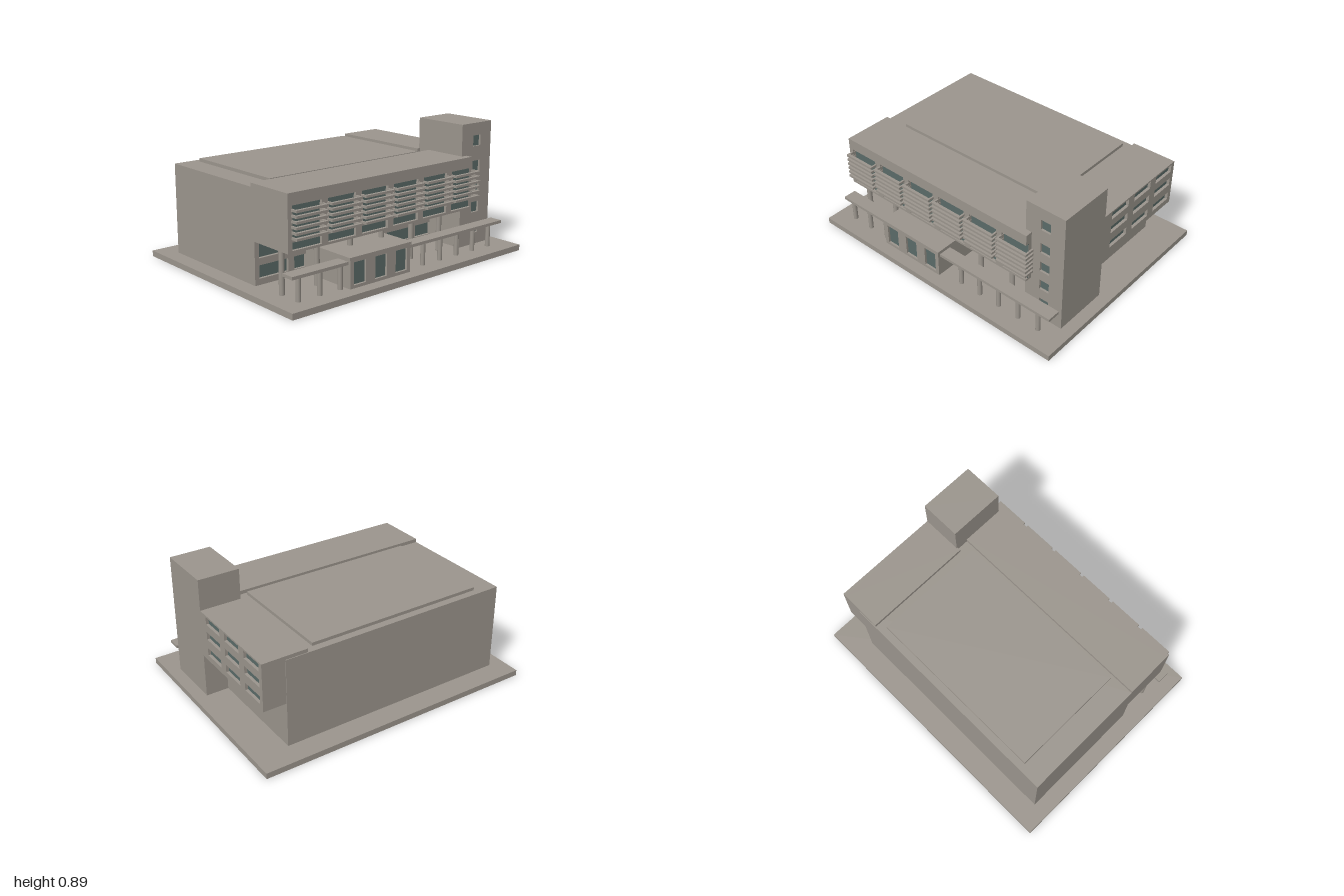
import * as THREE from 'three';

export function createModel() {
  const model = new THREE.Group();
  model.name = 'officeBuilding';
  const concrete = new THREE.MeshStandardMaterial({ color: 0x9b958d });
  concrete.name = 'concrete';
  const glass = new THREE.MeshStandardMaterial({ color: 0x5a6b68 });
  glass.name = 'glass';

  function add(name, geometry, material = concrete, parent = model) {
    const mesh = new THREE.Mesh(geometry, material);
    mesh.name = name;
    parent.add(mesh);
    return mesh;
  }
  // Box given by its limits on each axis
  function box(name, x0, x1, y0, y1, z0, z1, material, parent) {
    const g = new THREE.BoxGeometry(x1 - x0, y1 - y0, z1 - z0);
    g.translate((x0 + x1) / 2, (y0 + y1) / 2, (z0 + z1) / 2);
    return add(name, g, material, parent);
  }
  function column(name, x, z, top, radius) {
    const g = new THREE.CylinderGeometry(radius, radius, top - 0.04, 16);
    add(name, g.translate(x, (top + 0.04) / 2, z));
  }
  // Wall plate with recessed windows; outline and openings lie in the x-y plane
  function windowWall(name, outline, openings, depth, panes = openings) {
    const group = new THREE.Group();
    group.name = name;
    const shape = new THREE.Shape(outline.map(p => new THREE.Vector2(...p)));
    for (const [a, b, c, d] of openings) {
      shape.holes.push(new THREE.Path([[a, c], [a, d], [b, d], [b, c]].map(p => new THREE.Vector2(...p))));
    }
    add(name + 'Face', new THREE.ExtrudeGeometry(shape, { depth, bevelEnabled: false }), concrete, group);
    for (const [a, b, c, d] of panes) box('windowPane', a, b, c, d, 0, 0.005, glass, group);
    model.add(group);
    return group;
  }
  const rect = (a, b, c, d) => [[a, c], [b, c], [b, d], [a, d]];

  // Ground slab, main block and raised roof panel
  box('groundSlab', -1, 1, 0, 0.04, -0.775, 0.77);
  box('mainBlock', -0.89, 0.755, 0.04, 0.655, -0.62, 0.24);
  box('roofPanel', -0.73, 0.54, 0.65, 0.677, -0.57, 0.215);

  // Recessed lower front wall with two rows of windows
  const bays = [0, 1, 2, 3, 4, 5].map(i => -0.857 + i * 0.267);
  const lower = bays.flatMap(x => [[x, x + 0.22, 0.08, 0.165], [x, x + 0.22, 0.21, 0.305]]);
  windowWall('lowerFrontWall', rect(-0.89, 0.755, 0.04, 0.33), lower, 0.025).position.z = 0.24;

  // Overhanging upper front; the last bay is open at its end
  box('upperFrontBlock', -0.89, 0.67, 0.32, 0.68, 0.24, 0.57);
  const upper = bays.flatMap(x => [[x, x + 0.22, 0.335, 0.385], [x, x + 0.22, 0.40, 0.605]]);
  const last = bays[5];
  const outline = [[-0.89, 0.32], [0.67, 0.32], [0.67, 0.335], [last, 0.335], [last, 0.385], [0.67, 0.385],
    [0.67, 0.40], [last, 0.40], [last, 0.605], [0.67, 0.605], [0.67, 0.68], [-0.89, 0.68]];
  windowWall('upperFrontWall', outline, upper.slice(0, 10), 0.025,
    upper.map(([a, b, c, d]) => [a, Math.min(b, 0.669), c, d])).position.z = 0.57;

  // U-shaped sun louvres in front of each bay
  for (const x of bays) {
    const x0 = x - 0.009, x1 = x + 0.229;
    for (let i = 0; i < 6; i++) {
      const y = 0.403 + i * 0.0335, top = y + 0.015;
      box('louvreFront', x0, x1, y, top, 0.625, 0.645);
      box('louvreArm', x0, x0 + 0.012, y, top, 0.572, 0.625);
      box('louvreArm', x1 - 0.012, x1, y, top, 0.572, 0.625);
    }
  }

  // Overhanging side wing with three by three windows
  box('sideWing', 0.6, 0.89, 0.35, 0.68, -0.615, 0.155);
  const sidePanes = [];
  for (const u of [-0.075, 0.165, 0.405]) {
    for (const y of [0.39, 0.507, 0.615]) sidePanes.push([u, u + 0.178, y, y + 0.054]);
  }
  const side = windowWall('sideWingWall', rect(-0.155, 0.615, 0.35, 0.68), sidePanes, 0.025);
  side.rotation.y = Math.PI / 2;
  side.position.x = 0.89;

  // Stair tower with a column of small windows
  box('stairTower', 0.625, 0.915, 0.04, 0.895, 0.147, 0.525);
  const towerPanes = [0.12, 0.27, 0.415, 0.56, 0.735].map(y => [0.737, 0.81, y, y + 0.074]);
  windowWall('towerWall', rect(0.625, 0.915, 0.04, 0.895), towerPanes, 0.02).position.z = 0.525;

  // Entrance porch with three glazed openings and a thin roof
  box('porch', -0.495, 0.01, 0.04, 0.225, 0.24, 0.665);
  const doors = [-0.465, -0.291, -0.117].map(x => [x, x + 0.098, 0.06, 0.205]);
  windowWall('porchFront', rect(-0.495, 0.01, 0.04, 0.225), doors, 0.02).position.z = 0.665;
  box('porchRoof', -0.503, 0.015, 0.222, 0.24, 0.24, 0.69);

  // Canopies either side of the porch and their posts
  box('canopy', -0.92, -0.495, 0.19, 0.21, 0.575, 0.667);
  box('canopy', 0.01, 0.915, 0.19, 0.21, 0.575, 0.667);
  for (const x of [-0.855, -0.695, -0.535, 0.17, 0.33, 0.49, 0.65, 0.81]) column('canopyPost', x, 0.64, 0.195, 0.016);

  // Tall columns under the overhang
  for (let i = 0; i < 6; i++) column('overhangColumn', -0.86 + i * 0.267, 0.49, 0.325, 0.018);

  return model;
}
